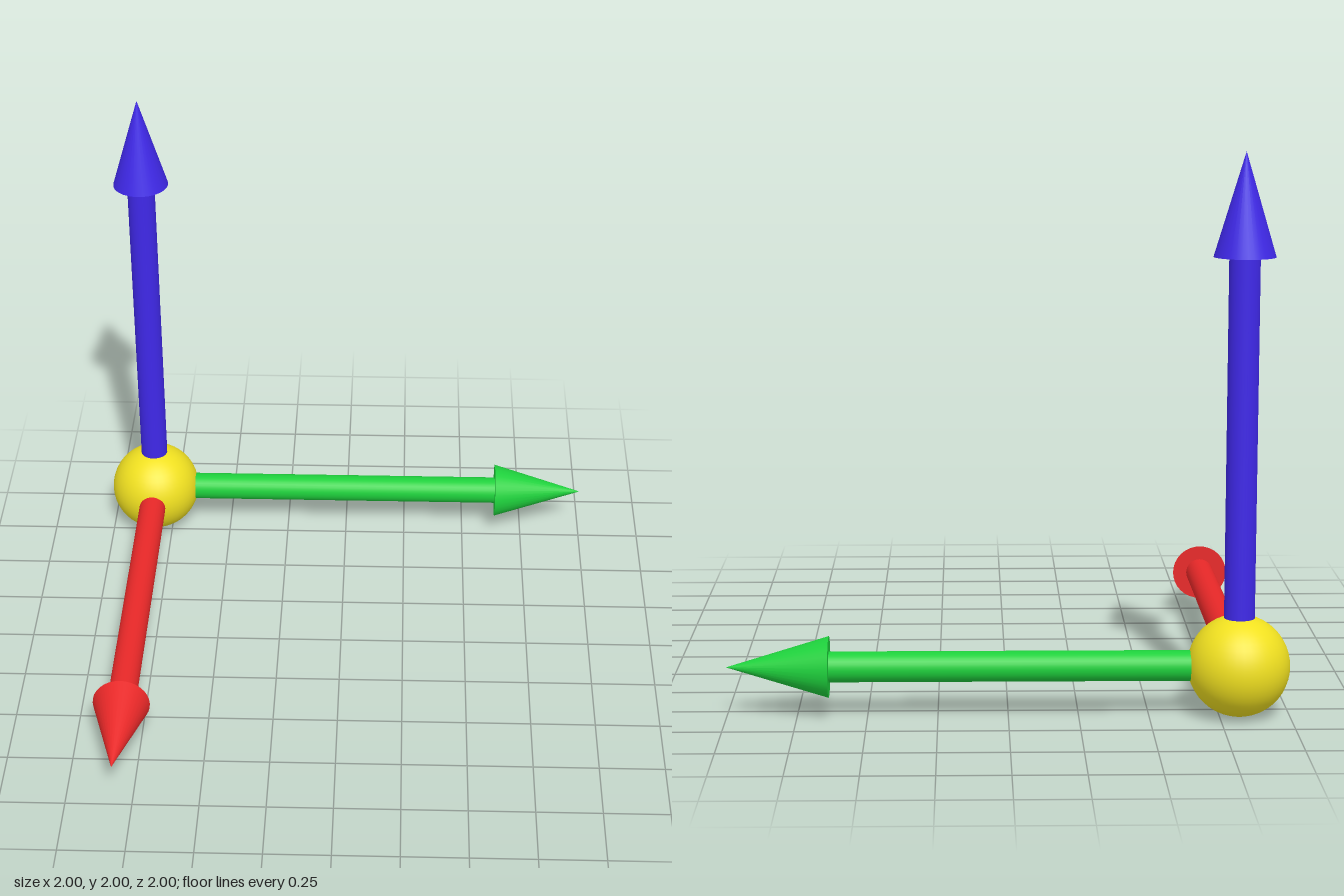
import * as THREE from 'three';

const HUB = 0.182;       // hub radius, also its distance from the bounds
const LENGTH = 1.818;    // hub centre to arrow tip
const HEAD = 0.364;      // arrowhead length

function paint(color) {
  return new THREE.MeshStandardMaterial({ color });
}

// Arrow along +y from the origin: round shaft and conical head
function makeArrow(name, color) {
  const arrow = new THREE.Group();
  arrow.name = name;
  const material = paint(color);
  const shaftLength = LENGTH - HEAD;

  const shaft = new THREE.Mesh(new THREE.CylinderGeometry(0.0545, 0.0545, shaftLength, 32), material);
  shaft.name = name + 'Shaft';
  shaft.position.y = shaftLength / 2;

  const head = new THREE.Mesh(new THREE.ConeGeometry(0.109, HEAD, 32), material);
  head.name = name + 'Head';
  head.position.y = LENGTH - HEAD / 2;

  arrow.add(shaft, head);
  return arrow;
}

export function createModel() {
  const model = new THREE.Group();
  model.name = 'axisArrows';

  // Everything radiates from the hub in the back right lower corner
  const origin = new THREE.Group();
  origin.name = 'axes';
  origin.position.set(HUB - 1, HUB, HUB - 1);
  model.add(origin);

  const hub = new THREE.Mesh(new THREE.SphereGeometry(HUB, 40, 24), paint(0xf0e020));
  hub.name = 'hub';

  const upArrow = makeArrow('upArrow', 0x3f28e8);
  const sideArrow = makeArrow('sideArrow', 0x1ed03c);
  sideArrow.rotation.z = -Math.PI / 2;
  const frontArrow = makeArrow('frontArrow', 0xe82828);
  frontArrow.rotation.x = Math.PI / 2;

  origin.add(hub, upArrow, sideArrow, frontArrow);
  return model;
}
